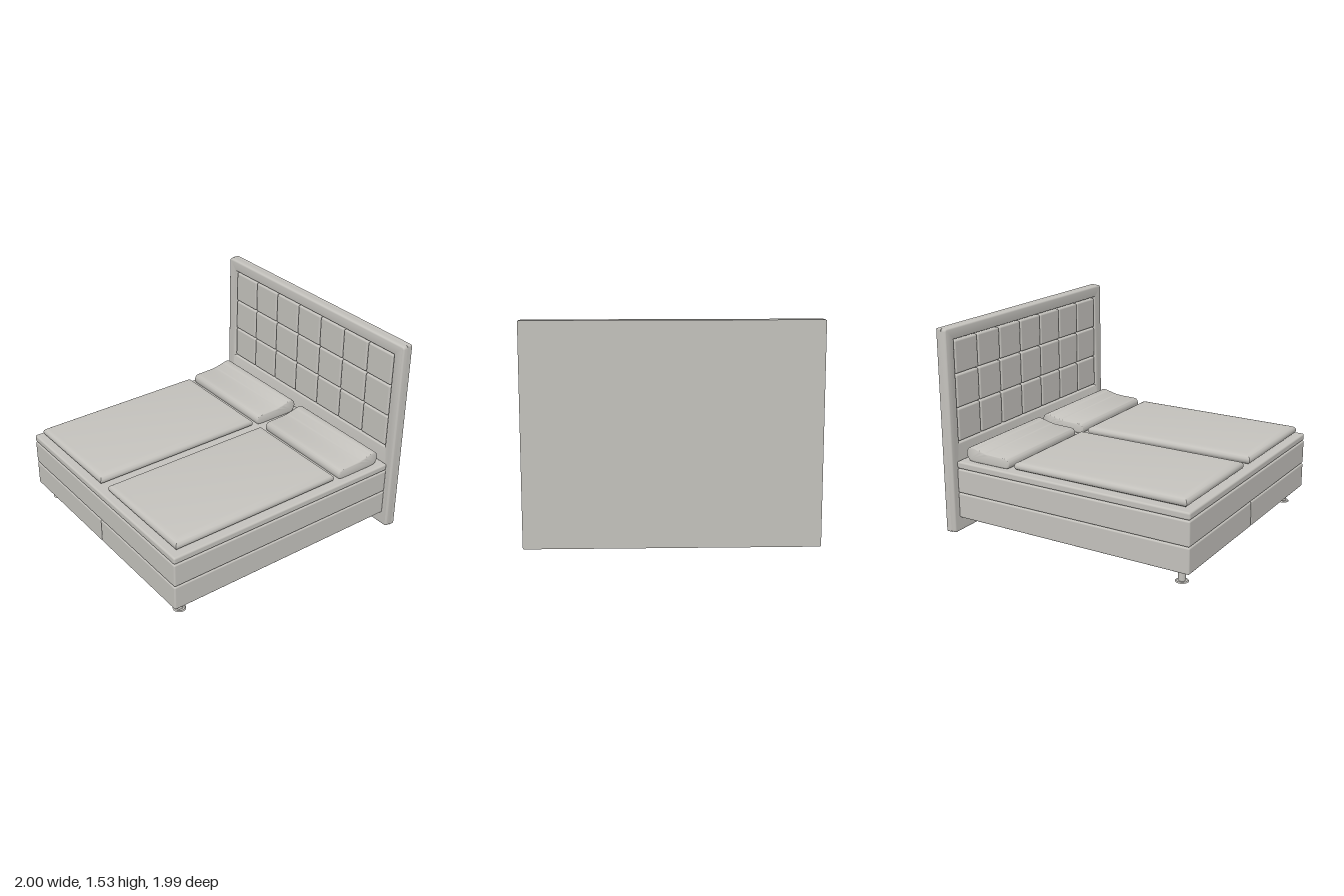
import * as THREE from 'three';
import { toCreasedNormals } from 'three/addons/utils/BufferGeometryUtils.js';
import { RoundedBoxGeometry } from 'three/addons/geometries/RoundedBoxGeometry.js';

const fabric = new THREE.MeshStandardMaterial({ color: 0xc3c1bc });
fabric.name = 'warmGreyFabric';

function add(parent, name, geometry, x = 0, y = 0, z = 0) {
  const mesh = new THREE.Mesh(geometry, fabric);
  mesh.name = name;
  mesh.position.set(x, y, z);
  parent.add(mesh);
  return mesh;
}

// Soft-edged block given by its limits
function block(parent, name, [x0, x1], [y0, y1], [z0, z1], radius) {
  const geo = new RoundedBoxGeometry(x1 - x0, y1 - y0, z1 - z0, 3, radius);
  return add(parent, name, geo, (x0 + x1) / 2, (y0 + y1) / 2, (z0 + z1) / 2);
}

// Rectangle path with rounded corners
function roundedRect(path, x0, y0, x1, y1, r) {
  path.moveTo(x0 + r, y0);
  path.lineTo(x1 - r, y0).quadraticCurveTo(x1, y0, x1, y0 + r);
  path.lineTo(x1, y1 - r).quadraticCurveTo(x1, y1, x1 - r, y1);
  path.lineTo(x0 + r, y1).quadraticCurveTo(x0, y1, x0, y1 - r);
  path.lineTo(x0, y0 + r).quadraticCurveTo(x0, y0, x0 + r, y0);
  return path;
}

// Stacked rectangles with mitred corners; rings are [inset, y]
function cushion(width, length, rings) {
  const pos = [], index = [];
  rings.forEach(([inset, y], i) => {
    const w = width / 2 - inset, l = length / 2 - inset;
    pos.push(-w, y, l, w, y, l, w, y, -l, -w, y, -l);
    if (i === 0) return;
    for (let k = 0; k < 4; k++) {
      const a = (i - 1) * 4 + k, b = (i - 1) * 4 + (k + 1) % 4;
      index.push(a, b, b + 4, a, b + 4, a + 4);
    }
  });
  const t = (rings.length - 1) * 4;
  index.push(0, 2, 1, 0, 3, 2, t, t + 1, t + 2, t, t + 2, t + 3);
  const geo = new THREE.BufferGeometry();
  geo.setAttribute('position', new THREE.Float32BufferAttribute(pos, 3));
  geo.setIndex(index);
  return toCreasedNormals(geo, 0.75);
}

function makeHeadboard() {
  const g = new THREE.Group();
  g.name = 'headboard';

  // Flat back board
  const back = roundedRect(new THREE.Shape(), -1, 0, 1, 1.53, 0.012);
  add(g, 'backBoard', new THREE.ExtrudeGeometry(back, { depth: 0.04, bevelEnabled: false }), 0, 0, -1);

  // Raised border with softened edges
  const b = 0.014;
  const border = roundedRect(new THREE.Shape(), -1 + b, b, 1 - b, 1.53 - b, 0.008);
  border.holes.push(roundedRect(new THREE.Path(), -0.91 - b, 0.675 - b, 0.91 + b, 1.44 + b, 0.008));
  const geo = new THREE.ExtrudeGeometry(border, {
    depth: 0.04, bevelSize: b, bevelThickness: b, bevelSegments: 4, curveSegments: 4,
  });
  add(g, 'border', toCreasedNormals(geo, 0.6), 0, 0, -0.92 - 0.04 - b);

  // Grid of padded tiles
  const w = 1.81 / 7, h = 0.755 / 3, gap = 0.003;
  for (let row = 0; row < 3; row++) {
    for (let col = 0; col < 7; col++) {
      const x = -0.905 + col * w, y = 0.68 + row * h;
      block(g, 'paddedTile', [x + gap, x + w - gap], [y + gap, y + h - gap], [-0.975, -0.923], 0.014);
    }
  }
  return g;
}

function makePillow() {
  // Contoured side profile: [distance behind centre, height]
  const pts = [[0.487, 0.585], [0.49, 0.56], [0.515, 0.547], [0.67, 0.546], [0.82, 0.547], [0.853, 0.562],
    [0.868, 0.605], [0.855, 0.645], [0.825, 0.658], [0.79, 0.65], [0.73, 0.632], [0.66, 0.62], [0.52, 0.615], [0.495, 0.605]];
  // Shrink the outline so the bevel brings it back to size
  const b = 0.012;
  const outline = pts.map(([s, y]) => new THREE.Vector2(
    0.6775 + (s - 0.6775) * (1 - b / 0.19), 0.595 + (y - 0.595) * (1 - b / 0.055)));
  const curve = new THREE.SplineCurve([...outline, outline[0]]);
  const shape = new THREE.Shape(curve.getPoints(56).slice(0, -1));
  const geo = new THREE.ExtrudeGeometry(shape, {
    depth: 0.85 - 2 * b, bevelSize: b, bevelThickness: b, bevelSegments: 4,
  });
  geo.rotateY(Math.PI / 2);
  geo.translate(-0.425 + b, 0, 0);
  return toCreasedNormals(geo, 0.6);
}

export function createModel() {
  const bed = new THREE.Group();
  bed.name = 'bed';
  bed.add(makeHeadboard());

  // Mattress and thin topper
  block(bed, 'mattress', [-0.95, 0.95], [0.305, 0.488], [-0.92, 0.99], 0.012);
  block(bed, 'topper', [-0.95, 0.95], [0.492, 0.546], [-0.92, 0.99], 0.014);

  const pillow = makePillow();
  const duvet = cushion(0.85, 1.38, [[0.05, 0.545], [0.02, 0.552], [0.006, 0.562], [0, 0.578],
    [0.003, 0.594], [0.014, 0.607], [0.032, 0.615], [0.06, 0.62]]);
  const leg = new THREE.CylinderGeometry(0.026, 0.026, 0.115, 24);
  const foot = new THREE.CylinderGeometry(0.04, 0.047, 0.008, 32);

  for (const side of [-1, 1]) {
    // Divided base, one half per side
    block(bed, 'baseHalf', side < 0 ? [-0.95, 0] : [0, 0.95], [0.11, 0.301], [-0.92, 0.99], 0.012);
    add(bed, 'pillow', pillow, side * 0.475);
    add(bed, 'duvet', duvet, side * 0.475, 0, 0.25);
    // Front legs; the headboard carries the rear
    add(bed, 'frontLeg', leg, side * 0.838, 0.0595, 0.88);
    add(bed, 'footDisc', foot, side * 0.838, 0.004, 0.88);
  }
  return bed;
}
